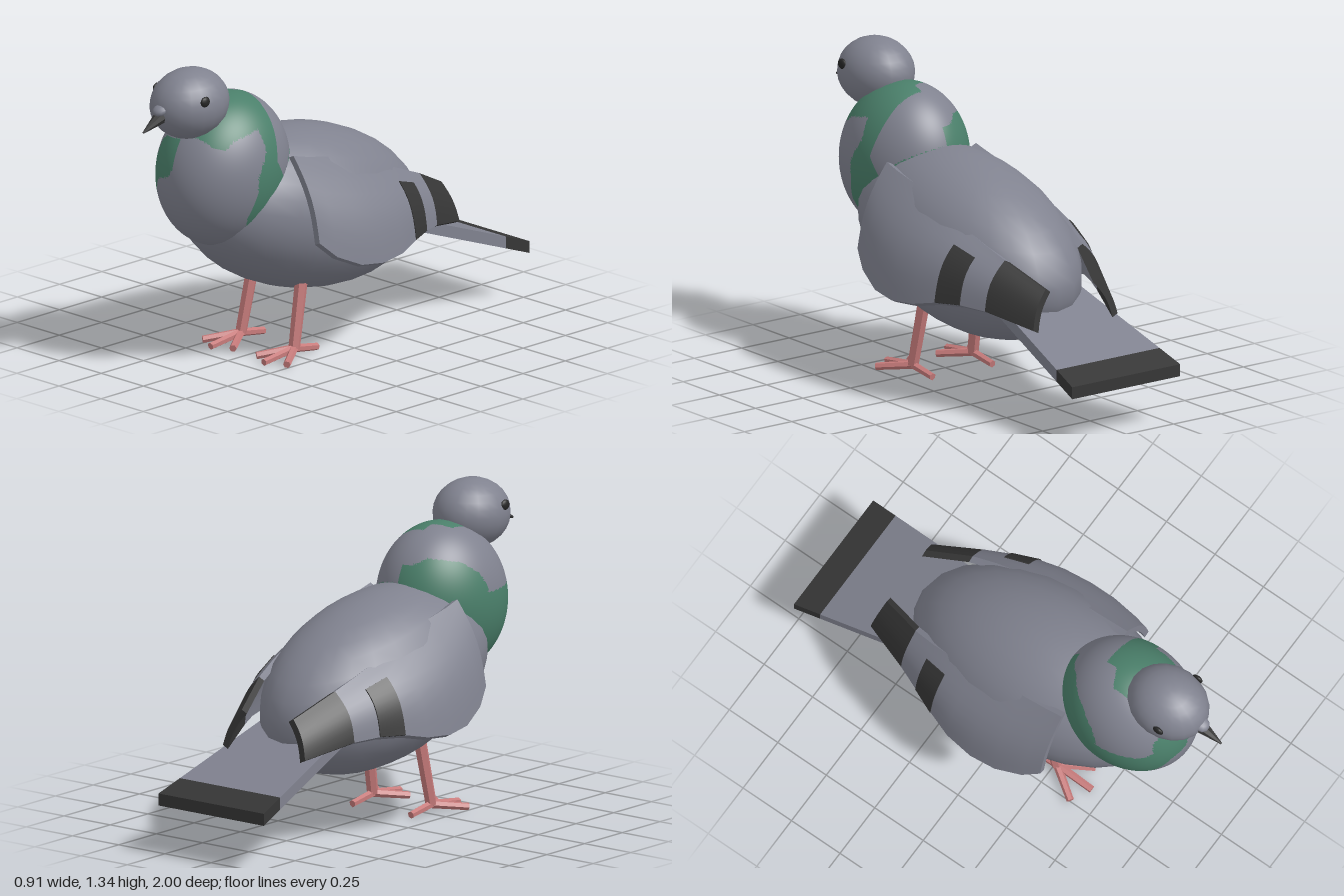
import * as THREE from 'three';
import { toCreasedNormals } from 'three/addons/utils/BufferGeometryUtils.js';

const V = (x, y, z) => new THREE.Vector3(x, y, z);

function material(name, color) {
  const m = new THREE.MeshStandardMaterial({ color });
  m.name = name;
  return m;
}

function mesh(name, geometry, mat) {
  const m = new THREE.Mesh(geometry, mat);
  m.name = name;
  return m;
}

// Sphere stretched to the given radii, tilted about x and moved into place
function ellipsoid(radii, tilt, centre, w = 24, h = 16) {
  return new THREE.SphereGeometry(1, w, h).scale(...radii).rotateX(tilt).translate(...centre);
}

// Tapered rod between two points
function rod(a, b, ra, rb, sides = 6) {
  const d = b.clone().sub(a);
  const g = new THREE.CylinderGeometry(rb, ra, d.length(), sides);
  g.applyQuaternion(new THREE.Quaternion().setFromUnitVectors(V(0, 1, 0), d.normalize()));
  g.translate((a.x + b.x) / 2, (a.y + b.y) / 2, (a.z + b.z) / 2);
  return toCreasedNormals(g, 0.5);
}

function inside(px, py, poly) {
  let hit = false;
  for (let i = 0, j = poly.length - 1; i < poly.length; j = i++) {
    const [xi, yi] = poly[i], [xj, yj] = poly[j];
    if (yi > py !== yj > py && px < ((xj - xi) * (py - yi)) / (yj - yi) + xi) hit = !hit;
  }
  return hit;
}

// Outlines of the green neck patches: left side and right side as (z, y), right front as (x, y)
const leftPatch = [[0.8, 1.08], [0.75, 1.05], [0.73, 1.02], [0.69, 1.01], [0.65, 1.04], [0.52, 1.07], [0.51, 0.98],
  [0.57, 0.88], [0.57, 0.8], [0.6, 0.7], [0.55, 0.5], [0.2, 0.75], [0.15, 0.97], [0.24, 0.97], [0.33, 0.91],
  [0.4, 0.84], [0.45, 0.92], [0.43, 1.0], [0.42, 1.1], [0.41, 1.17], [0.46, 1.25], [0.8, 1.25]];
const rightFront = [[-0.3, 0.92], [-0.2, 0.915], [-0.155, 0.94], [-0.14, 1.0], [-0.1, 1.03], [0, 1.04], [0, 0.92],
  [-0.02, 0.88], [-0.1, 0.85], [-0.14, 0.78], [-0.17, 0.7], [-0.165, 0.64], [-0.05, 0.56], [-0.05, 0.5], [-0.3, 0.5]];
const rightSide = [[0.54, 0.92], [0.5, 1.0], [0.42, 1.06], [0.32, 1.08], [0.2, 1.0], [0.2, 0.5], [0.54, 0.5]];

function isGreen(x, y, z) {
  if (x > 0) return inside(z, y, leftPatch);
  if (y > 1.08 && x > -0.08 && z > 0.46 - x * 0.5) return true;
  return z > 0.53 ? inside(x, y, rightFront) : inside(z, y, rightSide);
}

// Divide the faces into a plain group and a green group
function paintNeck(g) {
  const p = g.attributes.position, idx = g.index.array, lists = [[], []];
  for (let i = 0; i < idx.length; i += 3) {
    const f = [idx[i], idx[i + 1], idx[i + 2]];
    const mid = (get) => (get(f[0]) + get(f[1]) + get(f[2])) / 3;
    const green = isGreen(mid((k) => p.getX(k)), mid((k) => p.getY(k)), mid((k) => p.getZ(k)));
    lists[green ? 1 : 0].push(...f);
  }
  g.setIndex([...lists[0], ...lists[1]]);
  g.clearGroups();
  g.addGroup(0, lists[0].length, 0);
  g.addGroup(lists[0].length, lists[1].length, 1);
  return g;
}

// Wing stations, front to back: top edge z, x, y, bottom edge z, x, y, bulge
const wingStations = [
  [0.345, 0.235, 0.92, 0.345, 0.39, 0.57, 0.03],
  [0.27, 0.238, 0.9, 0.27, 0.42, 0.5, 0.04],
  [0.15, 0.24, 0.875, 0.15, 0.447, 0.445, 0.05],
  [0.03, 0.24, 0.845, 0.03, 0.455, 0.43, 0.05],
  [-0.1, 0.24, 0.8, -0.1, 0.44, 0.44, 0.048],
  [-0.21, 0.237, 0.755, -0.21, 0.405, 0.465, 0.042],
  [-0.32, 0.225, 0.71, -0.32, 0.358, 0.47, 0.035],
  [-0.43, 0.205, 0.665, -0.43, 0.31, 0.46, 0.027],
  [-0.625, 0.14, 0.57, -0.65, 0.222, 0.41, 0.015],
];

// Curved plate over a run of stations, from v0 to v1 across the wing
function wingPlate(stations, v0, v1, outer, inner) {
  const n = 8, ring = 2 * (n + 1), pos = [], index = [];
  for (const [zt, xt, yt, zb, xb, yb, bulge] of stations) {
    const dx = xb - xt, dy = yb - yt, len = Math.hypot(dx, dy);
    for (let k = 0; k < ring; k++) {
      const j = k <= n ? k : ring - 1 - k;
      const v = v0 + ((v1 - v0) * j) / n;
      const off = bulge * Math.sin(Math.PI * v) + (k <= n ? outer : inner);
      pos.push(xt + dx * v - (dy / len) * off, yt + dy * v + (dx / len) * off, zt + (zb - zt) * v);
    }
  }
  const last = (stations.length - 1) * ring;
  for (let r = 0; r < last; r += ring) {
    for (let k = 0; k < ring; k++) {
      const a = r + k, b = r + ((k + 1) % ring);
      index.push(a, b, b + ring, a, b + ring, a + ring);
    }
  }
  for (let j = 0; j < n; j++) {
    const i0 = ring - 1 - j, i1 = i0 - 1;
    index.push(j, i0, j + 1, j + 1, i0, i1);
    index.push(last + j, last + j + 1, last + i0, last + j + 1, last + i1, last + i0);
  }
  const g = new THREE.BufferGeometry();
  g.setAttribute('position', new THREE.Float32BufferAttribute(pos, 3));
  g.setIndex(index);
  return toCreasedNormals(g, 0.6);
}

// Sloping tail slab that widens to the back
function tailSlab(z0, z1) {
  const g = new THREE.BoxGeometry(2, 1, 1).toNonIndexed();
  const p = g.attributes.position;
  for (let i = 0; i < p.count; i++) {
    const z = p.getZ(i) > 0 ? z0 : z1;
    const y = 0.205 + 0.357 * (z + 1) + (p.getY(i) > 0 ? 0.052 : 0);
    p.setXYZ(i, p.getX(i) * (0.285 - 0.11 * (z + 1)), y, z);
  }
  g.computeVertexNormals();
  return g;
}

export function createModel() {
  const grey = material('feather grey', 0x80828f);
  const green = material('neck green', 0x4a7f6a);
  const dark = material('dark feather', 0x363636);
  const black = material('eye black', 0x262626);
  const pink = material('leg pink', 0xc77b7b);
  const bird = new THREE.Group();
  bird.name = 'bird';

  // Trunk, neck and head
  bird.add(mesh('body', ellipsoid([0.358, 0.353, 0.635], -0.23, [0, 0.6, 0.08]), grey));
  const neck = paintNeck(ellipsoid([0.257, 0.333, 0.303], -0.3, [0, 0.86, 0.53], 160, 100));
  bird.add(mesh('neck', neck, [grey, green]));
  bird.add(mesh('head', ellipsoid([0.154, 0.15, 0.182], 0.06, [0, 1.188, 0.727], 20, 14), grey));

  // Beak with the fleshy bump at its base
  bird.add(mesh('beak', rod(V(0, 1.175, 0.87), V(0, 1.115, 1), 0.038, 0.004, 8), dark));
  bird.add(mesh('beakBump', ellipsoid([0.034, 0.022, 0.035], 0.4, [0, 1.192, 0.9], 10, 8), grey));

  // Tail
  bird.add(mesh('tail', tailSlab(-0.37, -0.875), grey));
  bird.add(mesh('tailBand', tailSlab(-0.875, -1), dark));

  // Paired parts, built on the left and mirrored
  for (const s of [1, -1]) {
    const side = new THREE.Group();
    side.name = s > 0 ? 'leftSide' : 'rightSide';
    side.scale.x = s;
    side.add(mesh('eye', ellipsoid([0.012, 0.023, 0.025], 0, [0.142, 1.232, 0.775], 12, 8), black));

    side.add(mesh('wing', wingPlate(wingStations.slice(0, 8), 0, 1, 0, -0.03), grey));
    side.add(mesh('wingTip', wingPlate(wingStations.slice(7), 0, 1, 0, -0.03), dark));
    side.add(mesh('wingBar', wingPlate(wingStations.slice(5, 7), 0.24, 1, 0.004, -0.004), dark));

    // Leg with three front toes and one back toe
    const ankle = V(0.158, 0.04, 0.265);
    side.add(mesh('leg', rod(V(0.143, 0.34, 0.205), ankle, 0.028, 0.025), pink));
    for (const [x, z] of [[0.07, 0.4], [0.158, 0.445], [0.25, 0.4], [0.158, 0.13]]) {
      side.add(mesh('toe', rod(ankle, V(x, 0.018, z), 0.018, 0.016), pink));
    }
    bird.add(side);
  }
  return bird;
}
